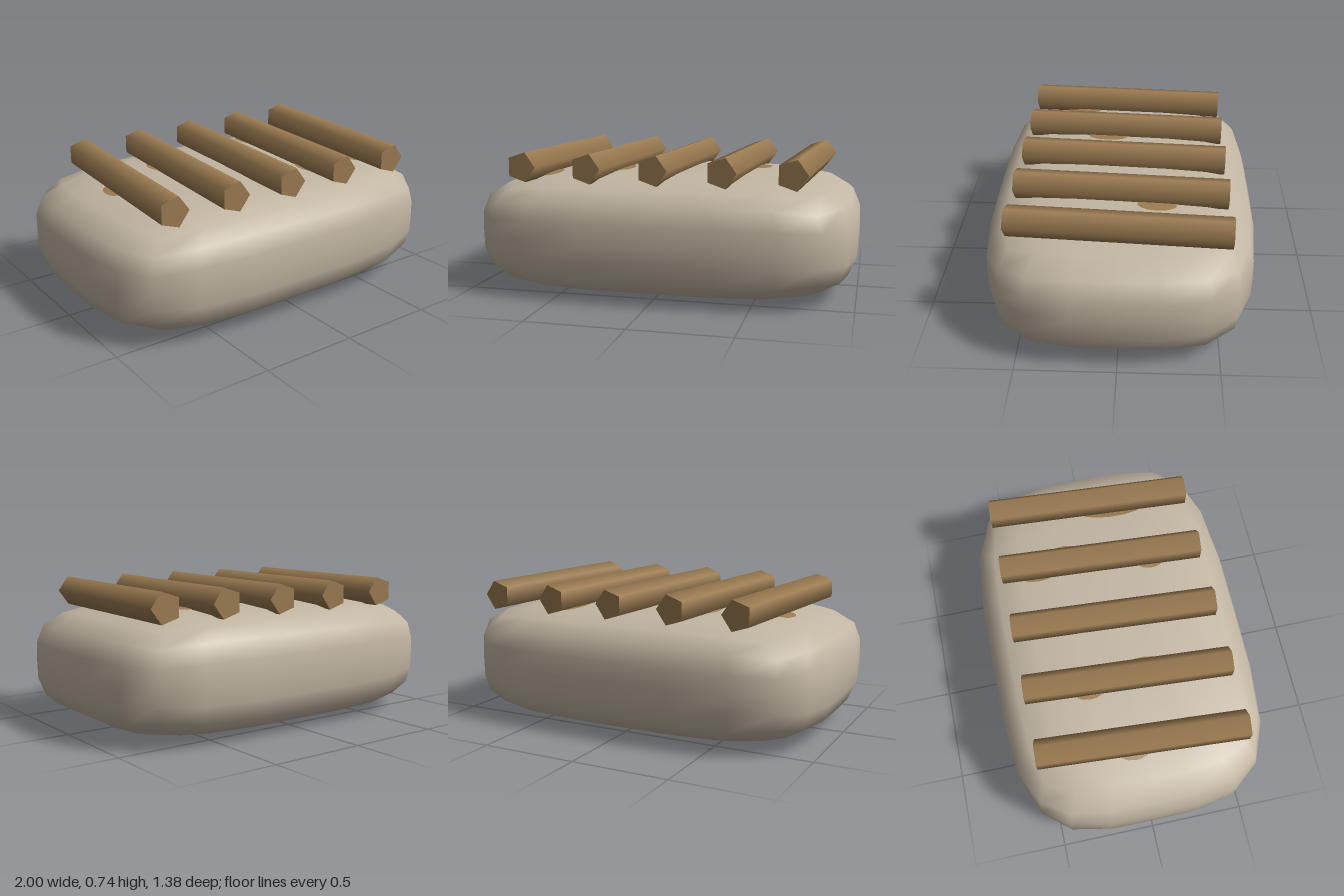
import * as THREE from 'three';
import { mergeVertices } from 'three/addons/utils/BufferGeometryUtils.js';

const YAW = -0.066, BAR_Y = 0.66, HALF = [1, 0.3075, 0.69];

const body = new THREE.MeshStandardMaterial({ color: 0xc2b6a3 });
body.name = 'warmGrey';
const brown = new THREE.MeshStandardMaterial({ color: 0x9c7c52 });
brown.name = 'brown';

// Rounded block: a segmented cube pulled onto a fourth-power superellipsoid
function blockGeometry() {
  let g = new THREE.BoxGeometry(2, 2, 2, 6, 6, 6);
  g.deleteAttribute('uv');
  g.deleteAttribute('normal');
  g = mergeVertices(g);
  const p = g.attributes.position;
  for (let i = 0; i < p.count; i++) {
    const x = p.getX(i), y = p.getY(i), z = p.getZ(i);
    const n = (x ** 4 + y ** 4 + z ** 4) ** 0.25;
    p.setXYZ(i, (x / n) * HALF[0], (y / n) * HALF[1] + HALF[1], (z / n) * HALF[2]);
  }
  g.computeVertexNormals();
  return g;
}

// Flat oval stain draped over the top of the block
function stainGeometry(block, x, z, rx, rz) {
  const g = new THREE.RingGeometry(0.001, 1, 14, 3);
  g.rotateX(-Math.PI / 2);
  g.scale(rx, 1, rz);
  g.rotateY(YAW);
  g.translate(x, 0, z);
  const p = g.attributes.position;
  const ray = new THREE.Raycaster();
  const down = new THREE.Vector3(0, -1, 0);
  for (let i = 0; i < p.count; i++) {
    ray.set(new THREE.Vector3(p.getX(i), 2, p.getZ(i)), down);
    const hit = ray.intersectObject(block)[0];
    p.setY(i, (hit ? hit.point.y : 0.6) + 0.004);
  }
  g.computeVertexNormals();
  return g;
}

export function createModel() {
  const model = new THREE.Group();
  model.name = 'barredBlock';

  const block = new THREE.Mesh(blockGeometry(), body);
  block.name = 'roundedBlock';
  block.updateMatrixWorld();
  model.add(block);

  // Five slanted pentagonal bars, one corner pointing to +x
  const barGeometry = new THREE.CylinderGeometry(0.08, 0.08, 1.08, 5);
  barGeometry.rotateX(Math.PI / 2);
  barGeometry.rotateZ(Math.PI / 2);
  for (let i = 0; i < 5; i++) {
    const bar = new THREE.Mesh(barGeometry, brown);
    bar.name = `bar${i + 1}`;
    bar.position.set(0.035 + (i - 2) * 0.345, BAR_Y, 0);
    bar.rotation.y = YAW;
    model.add(bar);
  }

  // Stains beside the bars: centre x, centre z, half width, half length
  const stains = [
    [-0.69, -0.05, 0.045, 0.08], [-0.62, 0.26, 0.045, 0.1],
    [-0.335, -0.21, 0.05, 0.08], [-0.26, 0.1, 0.045, 0.11],
    [0.03, -0.18, 0.05, 0.13], [0.38, -0.35, 0.055, 0.11],
    [0.45, -0.18, 0.055, 0.1], [0.33, 0.26, 0.055, 0.08],
    [0.685, 0.12, 0.055, 0.18],
  ];
  stains.forEach((s, i) => {
    const stain = new THREE.Mesh(stainGeometry(block, ...s), brown);
    stain.name = `stain${i + 1}`;
    model.add(stain);
  });
  return model;
}
